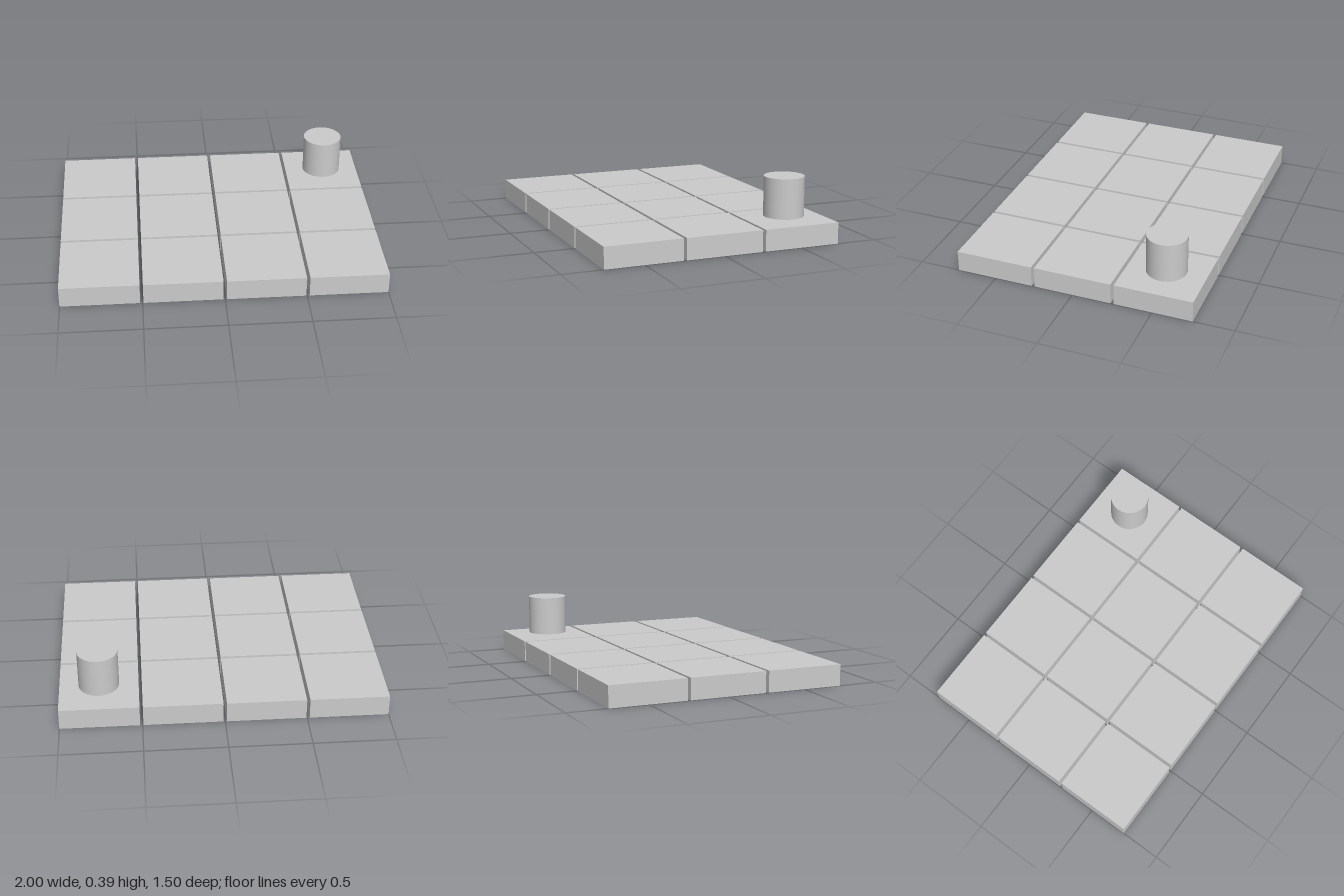
import * as THREE from 'three';

const PITCH = 0.505, TILE = 0.485, THICK = 0.132;
const COLS = 4, ROWS = 3;

export function createModel() {
  const model = new THREE.Group();
  model.name = 'tileBoard';
  const material = new THREE.MeshStandardMaterial({ color: 0xcccccc });

  // Grid of square tiles separated by narrow gaps
  const board = new THREE.Group();
  board.name = 'board';
  const tileGeometry = new THREE.BoxGeometry(TILE, THICK, TILE);
  const place = (index, count) => (index - (count - 1) / 2) * PITCH;
  for (let row = 0; row < ROWS; row++) {
    for (let col = 0; col < COLS; col++) {
      const tile = new THREE.Mesh(tileGeometry, material);
      tile.name = `tileRow${row + 1}Column${col + 1}`;
      tile.position.set(place(col, COLS), THICK / 2, place(row, ROWS));
      board.add(tile);
    }
  }
  model.add(board);

  // Round playing piece hovering just above the back left tile
  const piece = new THREE.Mesh(new THREE.CylinderGeometry(0.124, 0.124, 0.247, 32), material);
  piece.name = 'playingPiece';
  piece.position.set(place(COLS - 1, COLS), 0.269, place(0, ROWS));
  model.add(piece);

  return model;
}
